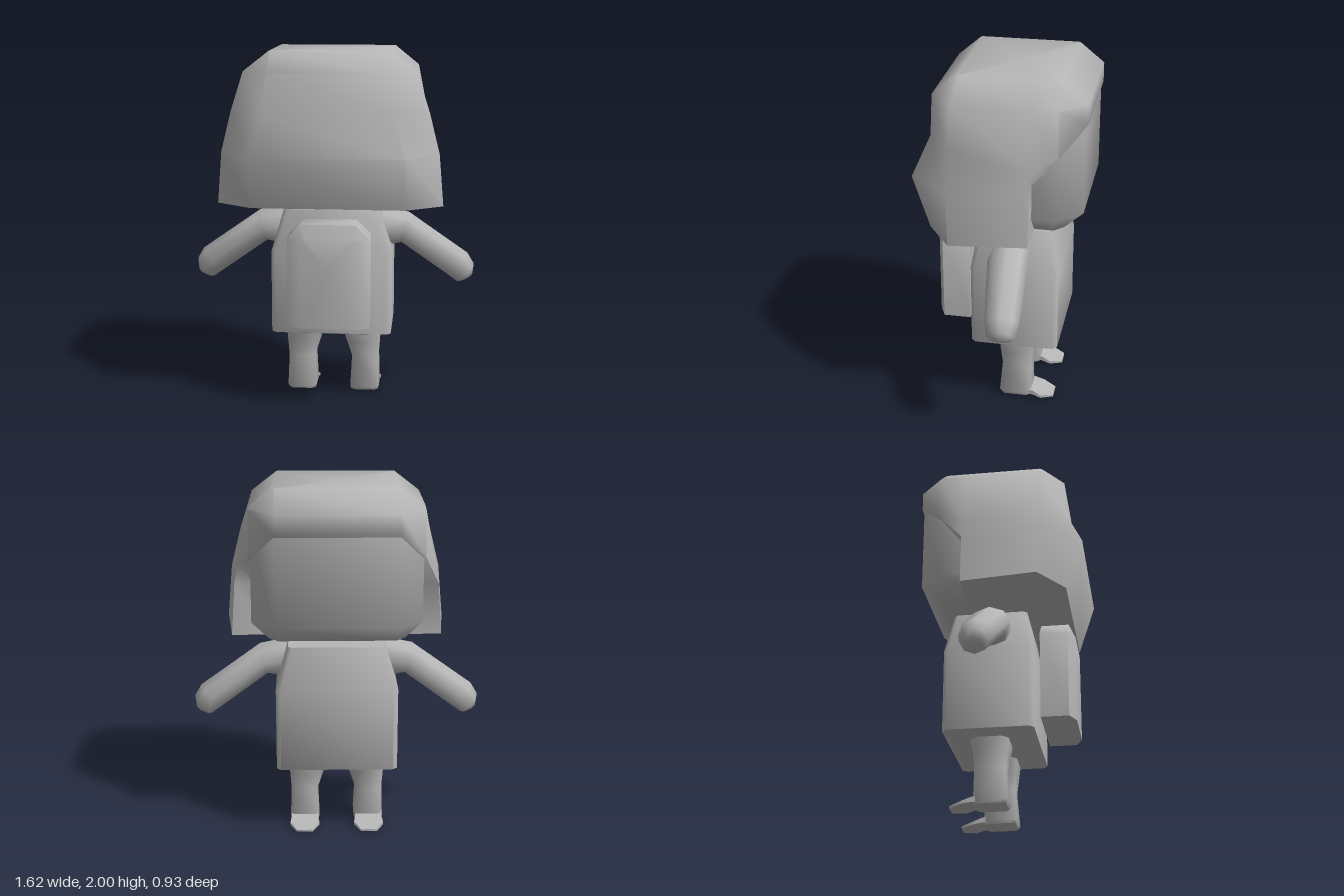
import * as THREE from 'three';
import { toCreasedNormals } from 'three/addons/utils/BufferGeometryUtils.js';

const clay = new THREE.MeshStandardMaterial({ color: 0xb6b6b6, side: THREE.DoubleSide });
clay.name = 'plain grey';

// Skins closed rings of [x, y, z] points, capping both ends; winding is fixed by signed volume.
function loft(name, rings, crease = 1.1) {
  const n = rings[0].length;
  const points = rings.flat().map((p) => new THREE.Vector3(...p));
  const index = [];
  for (let r = 0; r < rings.length - 1; r++) {
    for (let i = 0; i < n; i++) {
      const a = r * n + i, b = r * n + (i + 1) % n;
      index.push(a, b, b + n, a, b + n, a + n);
    }
  }
  for (const r of [0, rings.length - 1]) {
    const mid = new THREE.Vector3();
    for (let i = 0; i < n; i++) mid.addScaledVector(points[r * n + i], 1 / n);
    const c = points.push(mid) - 1;
    for (let i = 0; i < n; i++) {
      const a = r * n + i, b = r * n + (i + 1) % n;
      if (r === 0) index.push(c, b, a);
      else index.push(c, a, b);
    }
  }
  let volume = 0;
  const cross = new THREE.Vector3();
  for (let i = 0; i < index.length; i += 3) {
    cross.crossVectors(points[index[i + 1]], points[index[i + 2]]);
    volume += points[index[i]].dot(cross);
  }
  if (volume < 0) index.reverse();
  const geometry = new THREE.BufferGeometry().setFromPoints(points);
  geometry.setIndex(index);
  const mesh = new THREE.Mesh(toCreasedNormals(geometry, crease), clay);
  mesh.name = name;
  return mesh;
}

// Completes a half ring with its mirror image across x = 0.
const mirrored = (half) => [...half, ...half.map(([x, y, z]) => [-x, y, z]).reverse()];

// Rectangle with cut corners at height y.
function block(y, x0, x1, z0, z1, c) {
  return [
    [x0 + c, z0], [x1 - c, z0], [x1, z0 + c], [x1, z1 - c],
    [x1 - c, z1], [x0 + c, z1], [x0, z1 - c], [x0, z0 + c],
  ].map(([x, z]) => [x, y, z]);
}

// Eight-sided arm section between a top and a bottom point, with its depth range.
function armRing([tx, ty], [bx, by], z0, z1) {
  return Array.from({ length: 8 }, (_, i) => {
    const a = (i * Math.PI) / 4, c = Math.cos(a), s = Math.sin(a);
    return [
      (tx + bx) / 2 + (c * (tx - bx)) / 2,
      (ty + by) / 2 + (c * (ty - by)) / 2,
      (z0 + z1) / 2 + (s * (z1 - z0)) / 2,
    ];
  });
}

export function createModel() {
  const model = new THREE.Group();
  model.name = 'figure';

  // Hair: crown, fringe over the face, then side curtains that turn inward behind the head block
  model.add(loft('hair', [
    [[0.33, 2, 0.235], [0.335, 2, 0.22], [0.335, 2, -0.19], [0.335, 2, -0.32], [0.33, 2, -0.33]],
    [[0.33, 1.89, 0.365], [0.475, 1.89, 0.235], [0.475, 1.89, -0.19], [0.47, 1.89, -0.33], [0.33, 1.89, -0.465]],
    [[0.36, 1.67, 0.37], [0.545, 1.67, 0.24], [0.54, 1.57, -0.19], [0.475, 1.63, -0.33], [0.33, 1.78, -0.465]],
    [[0.42, 1.45, 0.465], [0.6, 1.45, 0.24], [0.56, 1.45, -0.19], [0.45, 1.45, -0.19], [0.33, 1.45, -0.17]],
    [[0.42, 1.16, 0.37], [0.625, 1.16, 0.23], [0.58, 1.16, -0.19], [0.36, 1.16, -0.19], [0.3, 1.16, -0.17]],
  ].map(mirrored)));

  // Head block with cut corners
  model.add(loft('head', [
    block(1.17, -0.37, 0.37, -0.345, 0.1, 0.05),
    block(1.27, -0.465, 0.465, -0.452, 0.1, 0.13),
    block(1.8, -0.465, 0.465, -0.452, 0.1, 0.13),
  ]));

  // Body, narrowing at the shoulders
  model.add(loft('body', [
    block(0.375, -0.27, 0.27, -0.26, 0.1, 0.02),
    block(0.4, -0.34, 0.34, -0.32, 0.175, 0.025),
    block(0.87, -0.34, 0.34, -0.32, 0.175, 0.025),
    block(1.11, -0.27, 0.27, -0.275, 0.135, 0.02),
  ], 1.2));

  // Backpack
  const pack = (z, w, bottom, shoulder, topW, top) =>
    mirrored([[w, bottom, z], [w, shoulder, z], [topW, top, z]]);
  model.add(loft('backpack', [
    pack(0.2, 0.228, 0.49, 0.99, 0.15, 1.07),
    pack(0.355, 0.228, 0.49, 0.99, 0.15, 1.07),
    pack(0.39, 0.15, 0.49, 0.99, 0.12, 1.0),
  ]));

  for (const [side, s] of [['left', 1], ['right', -1]]) {
    const flip = (rings) => rings.map((r) => r.map(([x, y, z]) => [s * x, y, z]));

    // Arm hanging outward to a blunt hand
    model.add(loft(side + 'Arm', flip([
      armRing([0.24, 1.11], [0.3, 0.87], 0.05, -0.165),
      armRing([0.43, 1.07], [0.39, 0.89], 0.06, -0.165),
      armRing([0.77, 0.83], [0.635, 0.715], 0.02, -0.17),
      armRing([0.808, 0.765], [0.715, 0.657], 0, -0.155),
      armRing([0.802, 0.71], [0.75, 0.672], -0.03, -0.125),
    ])));

    // Leg, flared where it meets the body
    model.add(loft(side + 'Leg', flip([
      block(0.01, 0.105, 0.26, -0.155, 0.015, 0.02),
      block(0.03, 0.1, 0.267, -0.16, 0.025, 0.02),
      block(0.21, 0.108, 0.262, -0.158, 0.01, 0.03),
      block(0.3, 0.08, 0.268, -0.165, 0.02, 0.03),
      block(0.39, 0.05, 0.275, -0.18, 0.03, 0.03),
    ])));

    // Thin toe flap
    const toe = (z, x0, x1, y0, y1) => [[x0, y0, z], [x1, y0, z], [x1, y1, z], [x0, y1, z]];
    model.add(loft(side + 'Toe', flip([
      toe(-0.14, 0.11, 0.26, 0.02, 0.05),
      toe(-0.17, 0.11, 0.26, 0.02, 0.048),
      toe(-0.22, 0.1, 0.27, 0.008, 0.025),
      toe(-0.29, 0.14, 0.23, 0, 0.012),
    ])));
  }
  return model;
}
